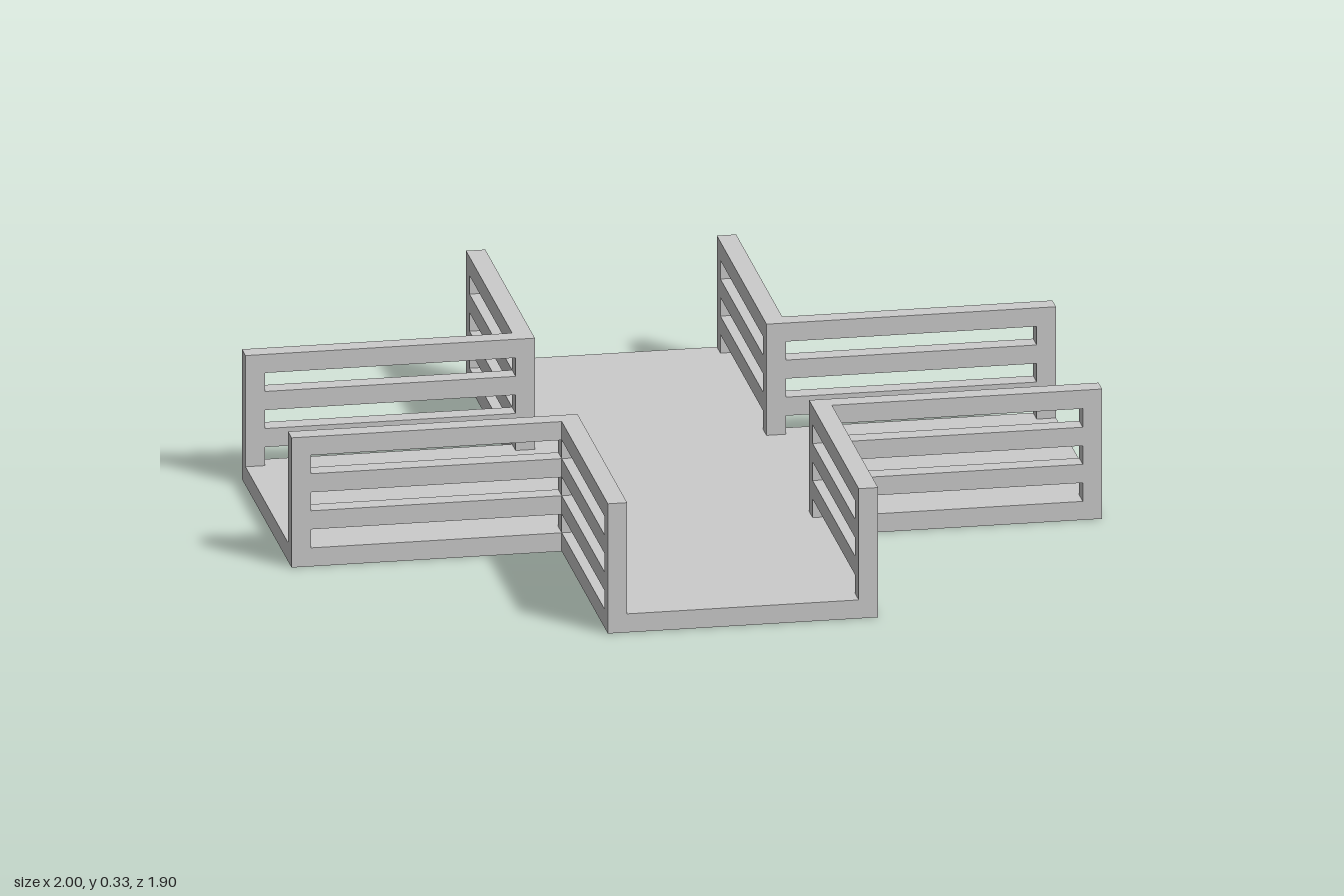
import * as THREE from 'three';

const U = 1 / 21;                 // bar thickness; every size is a multiple of it
const INNER = 6, OUTER = 7;       // inside and outside of the fences
const HEIGHT = 7;
const END_X = 21, END_Z = 20;     // reach of the arms

const material = new THREE.MeshStandardMaterial({ color: 0xcccccc, flatShading: true });

// Box given by its limits, in bar units
function bar(name, [x0, x1], [y0, y1], [z0, z1]) {
  const geometry = new THREE.BoxGeometry((x1 - x0) * U, (y1 - y0) * U, (z1 - z0) * U);
  const mesh = new THREE.Mesh(geometry, material);
  mesh.position.set((x0 + x1) * U / 2, (y0 + y1) * U / 2, (z0 + z1) * U / 2);
  mesh.name = name;
  return mesh;
}

// Cross-shaped floor slab, one unit thick
function createFloor() {
  const a = OUTER * U, x = END_X * U, z = END_Z * U;
  const shape = new THREE.Shape([
    [x, -a], [x, a], [a, a], [a, z], [-a, z], [-a, a],
    [-x, a], [-x, -a], [-a, -a], [-a, -z], [a, -z], [a, -a],
  ].map(([px, py]) => new THREE.Vector2(px, py)));
  const geometry = new THREE.ExtrudeGeometry(shape, { depth: U, bevelEnabled: false });
  geometry.rotateX(-Math.PI / 2);
  const floor = new THREE.Mesh(geometry, material);
  floor.name = 'floor';
  return floor;
}

// L-shaped railing around one inner corner of the cross
function createCornerRailing(sx, sz) {
  const railing = new THREE.Group();
  railing.name = 'cornerRailing';
  const span = (s, a, b) => (s > 0 ? [a, b] : [-b, -a]);
  const wallX = span(sx, INNER, OUTER), wallZ = span(sz, INNER, OUTER);

  // Upright posts standing on the floor
  const posts = [1, HEIGHT];
  railing.add(
    bar('cornerPost', wallX, posts, wallZ),
    bar('sideEndPost', span(sx, END_X - 1, END_X), posts, wallZ),
    bar('frontBackEndPost', wallX, posts, span(sz, END_Z - 1, END_Z)),
  );

  // Three rails along each leg, separated by equal gaps
  for (const y of [2, 4, 6]) {
    railing.add(
      bar('sideRail', span(sx, OUTER, END_X - 1), [y, y + 1], wallZ),
      bar('frontBackRail', wallX, [y, y + 1], span(sz, OUTER, END_Z - 1)),
    );
  }
  return railing;
}

export function createModel() {
  const model = new THREE.Group();
  model.name = 'crossPlatform';
  model.add(createFloor());
  for (const sx of [-1, 1]) {
    for (const sz of [-1, 1]) model.add(createCornerRailing(sx, sz));
  }
  return model;
}
